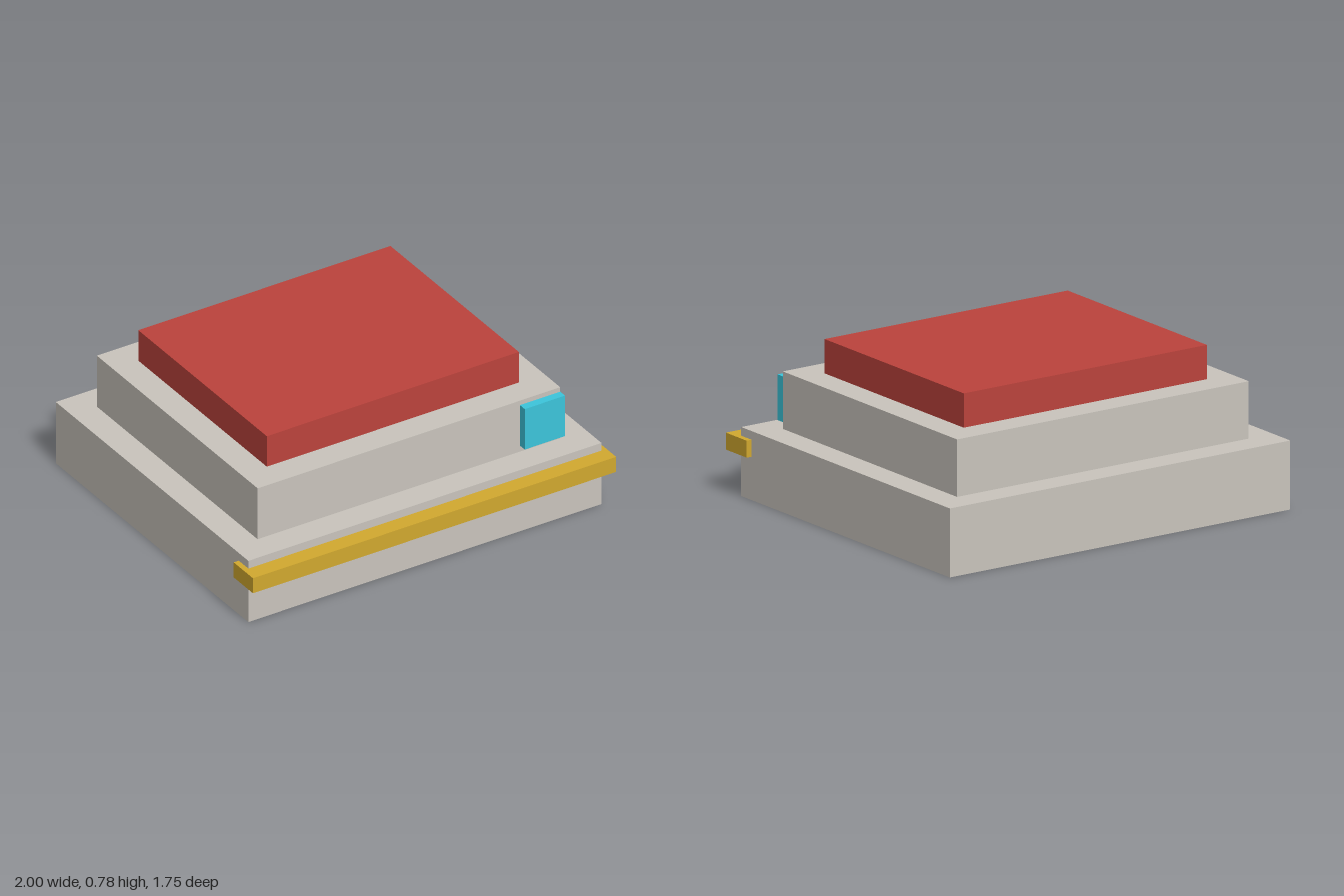
import * as THREE from 'three';

const stone = new THREE.MeshStandardMaterial({ color: 0xcac5bd, flatShading: true });
const red = new THREE.MeshStandardMaterial({ color: 0xbc433c, flatShading: true });
const gold = new THREE.MeshStandardMaterial({ color: 0xd2a92f, flatShading: true });
const cyan = new THREE.MeshStandardMaterial({ color: 0x3cc6dc, flatShading: true });

// Box given by its extents along each axis
function block(name, material, [x0, x1], [y0, y1], [z0, z1]) {
  const mesh = new THREE.Mesh(new THREE.BoxGeometry(x1 - x0, y1 - y0, z1 - z0), material);
  mesh.position.set((x0 + x1) / 2, (y0 + y1) / 2, (z0 + z1) / 2);
  mesh.name = name;
  return mesh;
}

export function createModel() {
  const model = new THREE.Group();
  model.name = 'steppedBuilding';
  model.add(
    // Three stacked tiers, each set in from the one below
    block('lowerTier', stone, [-0.972, 0.972], [0, 0.334], [-0.875, 0.791]),
    block('middleTier', stone, [-0.833, 0.833], [0.334, 0.612], [-0.738, 0.653]),
    block('roofTier', red, [-0.694, 0.694], [0.612, 0.778], [-0.598, 0.514]),
    // Trim bar across the front, wrapping slightly past the sides
    block('frontTrim', gold, [-1, 1], [0.21, 0.292], [0.708, 0.875]),
    // Panel on the front of the middle tier, flush with its left edge
    block('frontPanel', cyan, [0.611, 0.833], [0.367, 0.588], [0.653, 0.695]),
  );
  return model;
}
